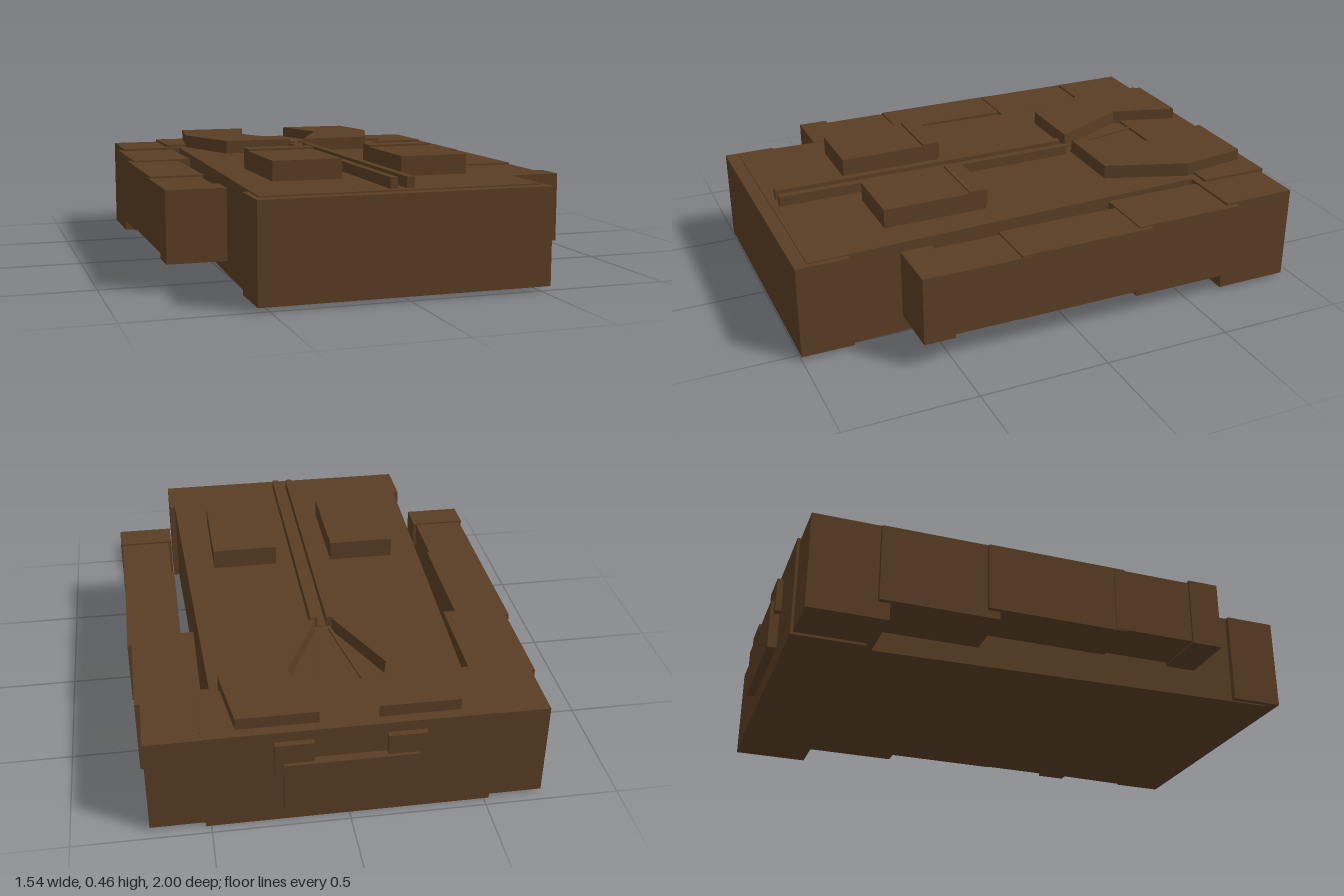
import * as THREE from 'three';

export function createModel() {
  const coat = new THREE.Group();
  coat.name = 'coat';
  const brown = new THREE.MeshStandardMaterial({ color: 0x5a3e24 });
  brown.name = 'brown cloth';

  const add = (name, geometry) => {
    const mesh = new THREE.Mesh(geometry, brown);
    mesh.name = name;
    coat.add(mesh);
    return mesh;
  };

  // box given by its limits on each axis
  const box = (name, [x0, x1], [y0, y1], [z0, z1]) =>
    add(name, new THREE.BoxGeometry(x1 - x0, y1 - y0, z1 - z0))
      .position.set((x0 + x1) / 2, (y0 + y1) / 2, (z0 + z1) / 2);

  // flat outline of [x, z] points raised from y0 to y1
  const slab = (name, points, y0, y1) => {
    const shape = new THREE.Shape(points.map(([x, z]) => new THREE.Vector2(x, -z)));
    const geometry = new THREE.ExtrudeGeometry(shape, { depth: y1 - y0, bevelEnabled: false });
    geometry.rotateX(-Math.PI / 2).translate(0, y0, 0);
    add(name, geometry);
  };

  // flared body, hem and shoulder yoke
  slab('body', [[-0.46, -0.95], [0.46, -0.95], [0.522, 0.95], [-0.522, 0.95]], 0.015, 0.385);
  box('hem', [-0.54, 0.54], [0.02, 0.38], [0.8, 1]);
  box('yoke', [-0.52, 0.52], [0.005, 0.395], [-0.965, -0.69]);

  // collar at the back of the neck
  box('collarBack', [-0.24, 0.24], [0.08, 0.275], [-1, -0.96]);

  // front closing
  box('frontSeam', [-0.02, 0.015], [0.375, 0.388], [-0.31, 0.8]);

  for (const s of [1, -1]) {
    const side = s > 0 ? 'left' : 'right';
    const span = (a, b) => (s > 0 ? [a, b] : [-b, -a]);
    const part = (name, x, y, z) => box(side + name, span(...x), y, z);
    const outline = (points) => points.map(([x, z]) => [x * s, z]);

    part('CollarEnd', [0.13, 0.27], [0.22, 0.355], [-0.988, -0.95]);

    // sleeve, from shoulder to cuff
    part('Shoulder', [0.46, 0.72], [0.015, 0.385], [-0.955, -0.66]);
    part('UpperSleeve', [0.5, 0.74], [0.08, 0.376], [-0.705, -0.262]);
    part('MiddleSleeve', [0.55, 0.757], [0.11, 0.37], [-0.31, 0.23]);
    part('LowerSleeve', [0.562, 0.761], [0.114, 0.363], [0.185, 0.5]);
    part('Cuff', [0.55, 0.77], [0.105, 0.37], [0.495, 0.615]);

    // lapel and the edge of the neck opening beside it
    slab(side + 'Lapel', outline([[0.4, -0.925], [0.105, -0.925], [0.182, -0.66],
      [0.032, -0.34], [0.322, -0.34], [0.437, -0.66]]), 0.38, 0.44);
    slab(side + 'NeckEdge', outline([[0.103, -0.7], [0.09, -0.7],
      [0.02, -0.34], [0.034, -0.34]]), 0.37, 0.393);

    // front band and pocket with flap
    part('FrontBand', [0.017, 0.045], [0.375, 0.425], [-0.31, 0.92]);
    part('Pocket', [0.117, 0.38], [0.37, 0.46], [0.205, 0.615]);
    part('PocketFlap', [0.117, 0.38], [0.4, 0.468], [0.2, 0.272]);
  }
  return coat;
}
